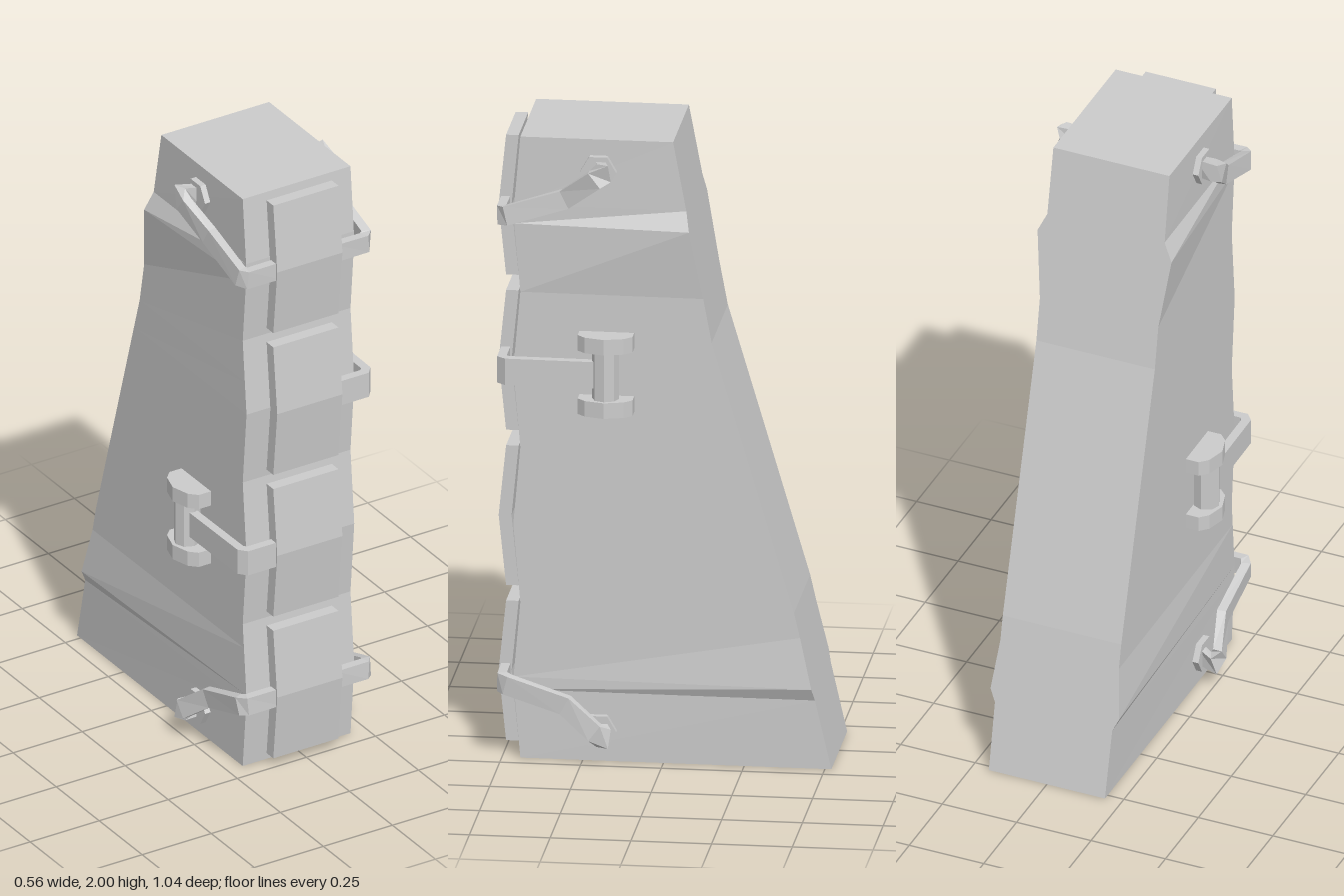
import * as THREE from 'three';

const grey = new THREE.MeshStandardMaterial({ color: 0xcccccc, flatShading: true });

function add(parent, geometry, name) {
  const mesh = new THREE.Mesh(geometry, grey);
  mesh.name = name;
  parent.add(mesh);
  return mesh;
}

// Skins four-cornered rings (counterclockwise about the travel direction) and caps both ends
function loft(rings) {
  const pos = [];
  const tri = (a, b, c) => [a, b, c].forEach((p) => pos.push(p.x, p.y, p.z));
  for (let i = 0; i < rings.length - 1; i++) {
    for (let j = 0; j < 4; j++) {
      const k = (j + 1) % 4;
      const [a, b, c, d] = [rings[i][j], rings[i][k], rings[i + 1][k], rings[i + 1][j]];
      tri(a, b, c);
      tri(a, c, d);
    }
  }
  const s = rings[0], e = rings[rings.length - 1];
  tri(s[0], s[2], s[1]);
  tri(s[0], s[3], s[2]);
  tri(e[0], e[1], e[2]);
  tri(e[0], e[2], e[3]);
  const g = new THREE.BufferGeometry();
  g.setAttribute('position', new THREE.Float32BufferAttribute(pos, 3));
  g.computeVertexNormals();
  return g;
}

// Rectangular bar along a polyline, mitred at the bends
function bar(points, height, thickness) {
  const pts = points.map((p) => new THREE.Vector3(...p));
  const up = new THREE.Vector3(0, 1, 0);
  const rings = pts.map((p, i) => {
    const before = p.clone().sub(pts[Math.max(i - 1, 0)]).normalize();
    const after = pts[Math.min(i + 1, pts.length - 1)].clone().sub(p).normalize();
    const t = before.clone().add(after).normalize();
    const n = t.clone().cross(up).normalize();
    const b = t.clone().cross(n);
    const ends = i === 0 || i === pts.length - 1;
    const mitre = ends ? 1 : 1 / Math.max(before.dot(t), 0.7);
    return [[1, 1], [-1, 1], [-1, -1], [1, -1]].map(([u, v]) => p.clone()
      .addScaledVector(n, u * thickness / 2 * mitre)
      .addScaledVector(b, v * height / 2));
  });
  return loft(rings);
}

// Piecewise linear lookup in [y, value] pairs
function lerpTable(table, y) {
  const i = Math.max(1, table.findIndex(([ty]) => ty >= y));
  const [y0, v0] = table[i - 1], [y1, v1] = table[i];
  return v0 + (v1 - v0) * (y - y0) / (y1 - y0);
}

// Tapering block: scalloped front, sloping back, back corners flaring at two heights
function bodyGeometry() {
  const back = [[0, -0.52], [0.5, -0.405], [1, -0.257], [1.36, -0.15], [2, -0.03]];
  const flare = [[0, 0.195], [0.22, 0.197], [0.26, 0.216], [0.42, 0.199], [1.5, 0.199],
    [1.72, 0.225], [1.78, 0.197], [2, 0.195]];
  const levels = [0, 0.22, 0.26, 0.42, 0.5, 0.75, 1, 1.25, 1.36, 1.5, 1.72, 1.78, 2];
  return loft(levels.map((y) => {
    const bump = 1 - Math.abs(((y % 0.5) - 0.25) / 0.25);
    const f = 0.443 + 0.022 * bump, b = lerpTable(back, y), w = lerpTable(flare, y);
    return [[0.195, f], [w, b], [-w, b], [-0.195, f]].map(([x, z]) => new THREE.Vector3(x, y, z));
  }));
}

// Front plate folded outward along its middle
function plateGeometry() {
  const h = 0.225, w = 0.118;
  return loft([[-h, 0.458, 0.497], [0, 0.48, 0.52], [h, 0.458, 0.497]].map(([y, z0, z1]) =>
    [[w, z1], [w, z0], [-w, z0], [-w, z1]].map(([x, z]) => new THREE.Vector3(x, y, z))));
}

// Cleat: a post held between two faceted caps
function cleat(side, y) {
  const g = new THREE.Group();
  g.name = 'cleat';
  const outline = [[0, -0.085], [0.045, -0.085], [0.07, -0.06], [0.087, 0],
    [0.07, 0.06], [0.045, 0.085], [0, 0.085]];
  const cap = new THREE.ExtrudeGeometry(
    new THREE.Shape(outline.map(([x, z]) => new THREE.Vector2(x, z))),
    { depth: 0.05, bevelEnabled: false });
  cap.rotateX(-Math.PI / 2);
  add(g, cap, 'upperCap').position.y = 0.077;
  add(g, cap, 'lowerCap').position.y = -0.127;
  add(g, new THREE.CylinderGeometry(0.042, 0.042, 0.16, 8), 'post').position.x = 0.034;
  g.position.set(side * 0.195, y, 0.175);
  if (side < 0) g.rotation.y = Math.PI;
  return g;
}

export function createModel() {
  const model = new THREE.Group();
  model.name = 'strappedBlock';
  add(model, bodyGeometry(), 'body');

  const plate = plateGeometry();
  for (let i = 0; i < 4; i++) add(model, plate, 'frontPlate').position.y = 0.255 + 0.5 * i;

  // Bent end straps with their hexagonal anchors, mirrored left/right and top/bottom
  const path = [[0.1, 0.752, 0.498], [0.212, 0.752, 0.498], [0.227, 0.756, 0.48],
    [0.228, 0.815, 0.3], [0.26, 0.89, 0.205], [0.252, 0.91, 0.178], [0.195, 0.9, 0.195]];
  for (const side of [1, -1]) {
    for (const end of [1, -1]) {
      add(model, bar(path.map(([x, y, z]) => [x * side, 1 + y * end, z]), 0.06, 0.028), 'endStrap');
      const anchor = add(model, new THREE.CylinderGeometry(0.056, 0.056, 0.03, 6), 'strapAnchor');
      anchor.rotation.z = Math.PI / 2;
      anchor.position.set(side * 0.2, 1 + 0.9 * end, 0.2);
    }
  }

  // Middle straps, one per side, each tied to a cleat
  for (const [side, y] of [[1, 1.255], [-1, 0.755]]) {
    const strap = [[0.1, y, 0.498], [0.212, y, 0.498], [0.227, y, 0.48], [0.23, y, 0.2]]
      .map(([x, py, z]) => [x * side, py, z]);
    add(model, bar(strap, 0.085, 0.028), 'middleStrap');
    model.add(cleat(side, y));
  }
  return model;
}
